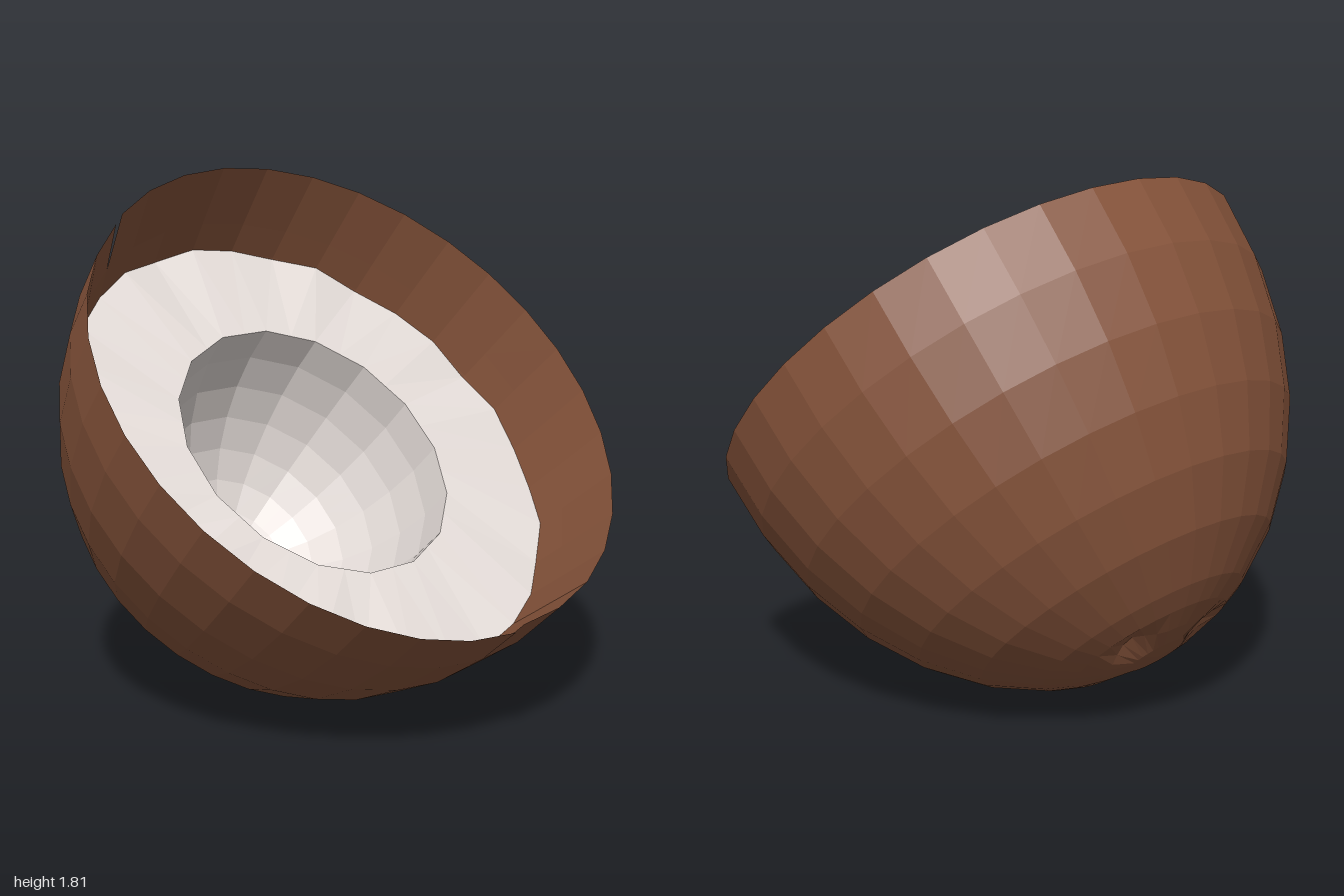
import * as THREE from 'three';

const SEG = 32;
const RIM = 0.998;    // rim radius
const DEPTH = 1.235;  // rim to pole
const DEG = Math.PI / 180;

// Faceted surface of revolution; point(row, k, seg) gives [radius, height].
// Rows running down face outwards, rows running up face inwards.
function loft(name, rows, point, material) {
  const pos = [];
  const at = (i, k, seg) => {
    const [r, y] = point(i, k % SEG, seg);
    const a = (k / SEG) * Math.PI * 2;
    return [r * Math.cos(a), y, r * Math.sin(a)];
  };
  for (let i = 0; i < rows - 1; i++) {
    for (let s = 0; s < SEG; s++) {
      const a = at(i, s, s), b = at(i, s + 1, s);
      const c = at(i + 1, s + 1, s), d = at(i + 1, s, s);
      pos.push(...a, ...b, ...c, ...a, ...c, ...d);
    }
  }
  const geo = new THREE.BufferGeometry();
  geo.setAttribute('position', new THREE.Float32BufferAttribute(pos, 3));
  geo.computeVertexNormals();
  const mesh = new THREE.Mesh(geo, material);
  mesh.name = name;
  return mesh;
}

export function createModel() {
  const husk = new THREE.MeshStandardMaterial({ color: 0x85533a });
  husk.name = 'brown husk';
  const white = new THREE.MeshStandardMaterial({ color: 0xe4dcd8 });
  white.name = 'white flesh';

  // the rim is cut lower along part of its circle
  const rimHeight = (seg) => (seg < 13 ? -0.05 : 0);

  // outer shell: half an ellipsoid with three dents around the pole
  const lat = [0, 11.25, 22.5, 33.75, 45, 56.25, 67.5, 73, 78.75, 84, 90];
  const dent = (k) => {
    const a = (k / SEG) * 360;
    const off = Math.min(...[0, 120, 240, 360].map((e) => Math.abs(a - e)));
    return 0.045 * Math.max(0, 1 - off / 32);
  };
  const shell = loft('shell', lat.length, (i, k, seg) => {
    if (i === 0) return [RIM, rimHeight(seg)];
    const p = lat[i] * DEG;
    const push = i === 8 ? dent(k) : 0;
    return [RIM * Math.cos(p), -DEPTH * Math.sin(p) + push];
  }, husk);

  // inside of the shell wall, from below the flesh up to the rim
  const wall = [[0.9, -0.42], [0.918, -0.359], [0.945, -0.241], [RIM, 0]];
  const lining = loft('shellLining', wall.length, (i, k, seg) =>
    (i === 3 ? [RIM, rimHeight(seg)] : wall[i]), husk);

  // hollow: 16-sided, rising from its floor to the edge of the flesh
  const hollowRows = 9;
  const sixteen = (r, k) => (k % 2 ? r : r * Math.cos(11.25 * DEG));
  const hollow = loft('hollow', hollowRows, (i, k) => {
    const p = (90 - i * 11.25) * DEG;
    return [sixteen(0.53 * Math.cos(p), k), -0.359 - 0.71 * Math.sin(p)];
  }, white);

  // slightly uneven flat ring of flesh around the hollow
  const ring = loft('fleshRing', 2, (i, k) =>
    (i === 0 ? [sixteen(0.53, k), -0.359] : [0.926, -0.359 + 0.012 * Math.sin(k * 2.4)]), white);

  const half = new THREE.Group();
  half.name = 'halfNut';
  half.add(shell, lining, hollow, ring);
  half.rotation.z = -0.753;
  half.position.set(0.195, 1.149, 0);

  const model = new THREE.Group();
  model.name = 'openNut';
  model.add(half);
  return model;
}
